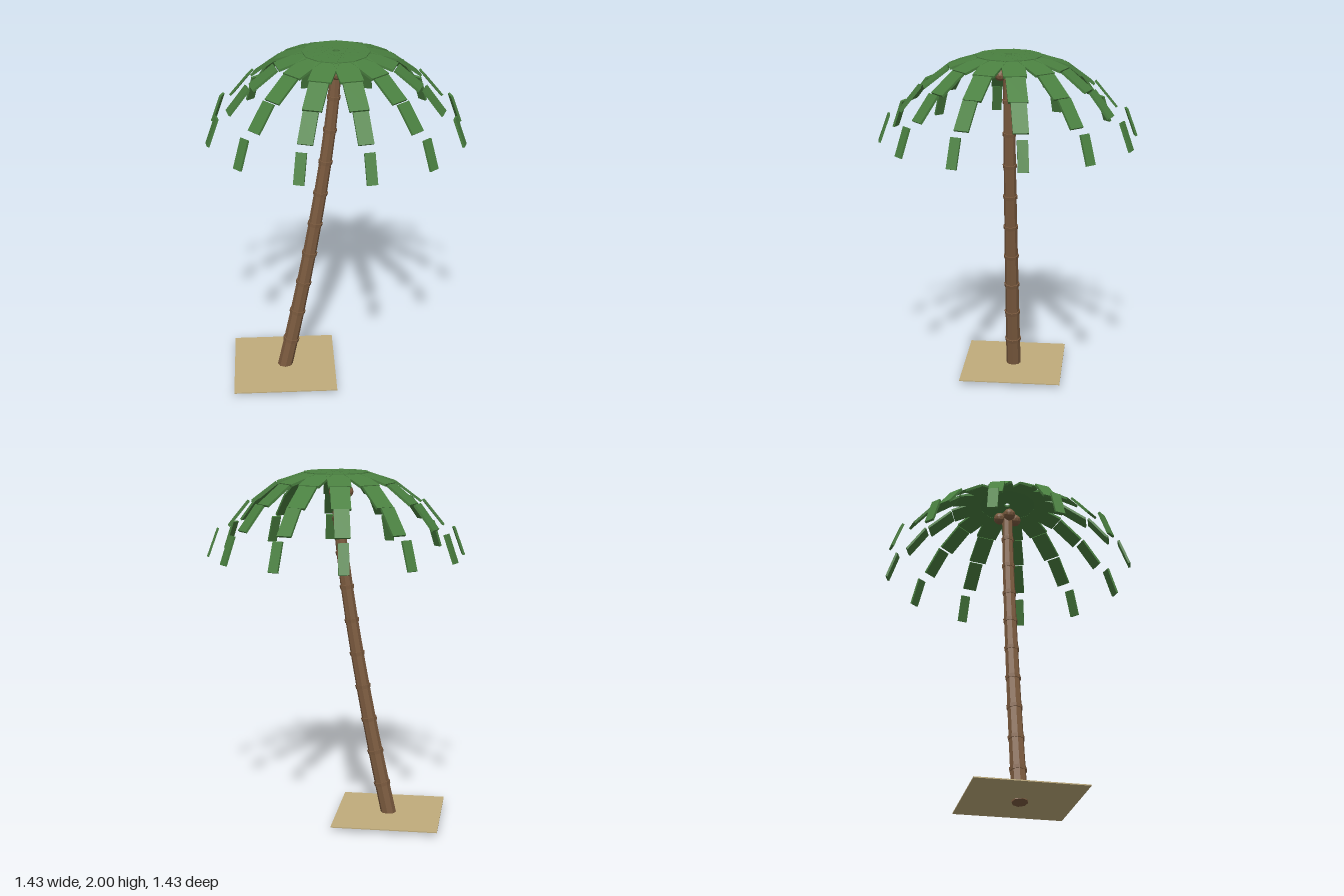
import * as THREE from 'three';

const mat = (name, color) => {
  const m = new THREE.MeshStandardMaterial({ color });
  m.name = name;
  m.flatShading = true;
  return m;
};

export function createModel() {
  const bark = mat('bark brown', 0x7d5c40);
  const leaf = mat('leaf green', 0x4a8040);
  const sand = mat('sand', 0xc0ac7c);
  const model = new THREE.Group();
  model.name = 'palmTree';

  const add = (parent, name, geometry, material) => {
    const mesh = new THREE.Mesh(geometry, material);
    mesh.name = name;
    parent.add(mesh);
    return mesh;
  };

  // Square ground plate
  add(model, 'sandPlate', new THREE.BoxGeometry(0.6, 0.006, 0.6), sand).position.set(-0.31, 0.025, 0);

  // Leaning trunk: tapered eight-sided segments with a collar at each joint
  const SEGMENTS = 10, BASE = 0.01, TOP = 1.925;
  const up = new THREE.Vector3(0, 1, 0);
  const trunkPoint = (t) => new THREE.Vector3(-0.31 * Math.pow(1 - t, 1.37), BASE + (TOP - BASE) * t, 0);
  const trunkRadius = (t) => 0.044 - 0.013 * t;
  const trunk = new THREE.Group();
  trunk.name = 'trunk';
  model.add(trunk);
  for (let i = 0; i < SEGMENTS; i++) {
    const t0 = i / SEGMENTS, t1 = (i + 1) / SEGMENTS;
    const a = trunkPoint(t0), b = trunkPoint(t1);
    const dir = b.clone().sub(a);
    const length = dir.length();
    dir.normalize();
    const segment = add(trunk, 'trunkSegment',
      new THREE.CylinderGeometry(trunkRadius(t1), trunkRadius(t0), length, 8), bark);
    segment.position.copy(a).add(b).multiplyScalar(0.5);
    segment.quaternion.setFromUnitVectors(up, dir);
    if (i > 0) {
      const r = trunkRadius(t0) + 0.006;
      const collar = add(trunk, 'trunkCollar', new THREE.CylinderGeometry(r, r - 0.002, 0.022, 8), bark);
      collar.position.copy(a);
      collar.quaternion.copy(segment.quaternion);
    }
  }

  // Three nuts under the crown
  for (const [x, z] of [[-0.06, 0], [0, 0.046], [0, -0.046]]) {
    add(model, 'nut', new THREE.IcosahedronGeometry(0.036, 1), bark).position.set(x, 1.885, z);
  }

  // Drooping fronds: leaflets given as [inner radius, y, outer radius, y, width]
  const leaflets = [
    [0.018, 1.993, 0.178, 1.989, 0.1],
    [0.165, 1.988, 0.328, 1.936, 0.125],
    [0.333, 1.934, 0.468, 1.832, 0.105],
    [0.488, 1.835, 0.598, 1.7, 0.083],
    [0.66, 1.683, 0.717, 1.528, 0.057],
  ];
  const FRONDS = 12;
  for (let i = 0; i < FRONDS; i++) {
    const frond = new THREE.Group();
    frond.name = 'frond';
    frond.rotation.y = 0.2 + (i * Math.PI * 2) / FRONDS;
    model.add(frond);
    for (const [r0, y0, r1, y1, width] of leaflets) {
      const leaflet = add(frond, 'leaflet',
        new THREE.BoxGeometry(Math.hypot(r1 - r0, y1 - y0), 0.013, width), leaf);
      leaflet.position.set((r0 + r1) / 2, (y0 + y1) / 2, 0);
      leaflet.rotation.z = Math.atan2(y1 - y0, r1 - r0);
    }
  }
  return model;
}
